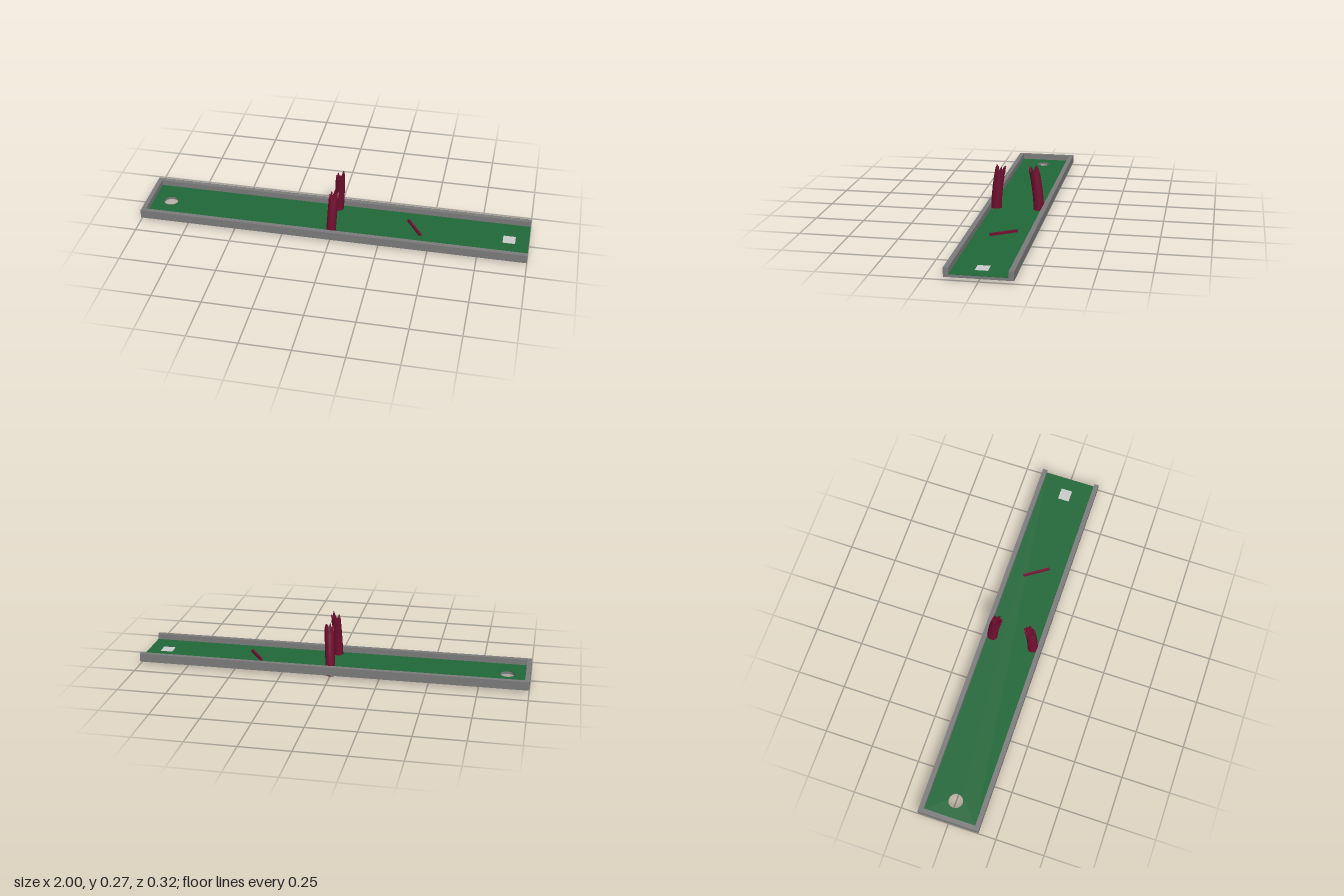
import * as THREE from 'three';

const mat = (color, side = THREE.FrontSide) => new THREE.MeshStandardMaterial({ color, side });

export function createModel() {
  const group = new THREE.Group();
  const grey = mat(0x7c7c7c);
  const green = mat(0x1f6838);
  const maroon = mat(0x720f30, THREE.DoubleSide);
  const pale = mat(0xcccccc);

  const add = (name, geometry, material, x = 0, y = 0, z = 0) => {
    const mesh = new THREE.Mesh(geometry, material);
    mesh.name = name;
    mesh.position.set(x, y, z);
    group.add(mesh);
    return mesh;
  };

  // Flat slab in x and z with the cup hole cut through it
  const slab = (x0, x1, halfZ, y0, y1) => {
    const shape = new THREE.Shape();
    shape.moveTo(x0, -halfZ);
    shape.lineTo(x1, -halfZ);
    shape.lineTo(x1, halfZ);
    shape.lineTo(x0, halfZ);
    shape.closePath();
    const hole = new THREE.Path();
    hole.absarc(-0.885, 0, 0.037, 0, Math.PI * 2, true);
    shape.holes.push(hole);
    const g = new THREE.ExtrudeGeometry(shape, { depth: y1 - y0, bevelEnabled: false, curveSegments: 32 });
    return g.rotateX(-Math.PI / 2).translate(0, y0, 0);
  };

  // Lane bed and turf
  add('laneBed', slab(-1, 1, 0.159, 0.014, 0.027), grey);
  add('turf', slab(-0.977, 1, 0.136, 0.027, 0.0285), green);

  // Raised kerbs on both long sides and the hole end
  for (const s of [1, -1]) {
    add(s > 0 ? 'frontKerb' : 'backKerb', new THREE.BoxGeometry(2, 0.031, 0.024), grey, 0, 0.0425, s * 0.147);
  }
  add('endKerb', new THREE.BoxGeometry(0.023, 0.031, 0.27), grey, -0.9885, 0.0425, 0);

  // Tee mat and slanted obstacle bar
  add('teeMat', new THREE.BoxGeometry(0.063, 0.002, 0.06), pale, 0.9, 0.029, 0);
  const bar = add('obstacleBar', new THREE.BoxGeometry(0.143, 0.012, 0.012), maroon, 0.415, 0.034, -0.004);
  bar.rotation.y = -Math.atan2(0.12, 0.08);

  // Broken arch stumps: hollow, curving inward, ending in jagged teeth
  const SEG = 32;
  const teeth = [[0, 0.222], [3, 0.265], [7, 0.22], [9, 0.255], [11, 0.226], [13, 0.25], [14, 0.232], [16, 0.257],
    [18, 0.225], [20, 0.25], [22, 0.22], [24, 0.245], [26, 0.222], [28, 0.25], [30, 0.225], [32, 0.222]];
  const topAt = (i) => {
    const k = teeth.findIndex((t) => t[0] > i);
    if (k < 0) return teeth[teeth.length - 1][1];
    const [a, b] = [teeth[k - 1], teeth[k]];
    return a[1] + (b[1] - a[1]) * (i - a[0]) / (b[0] - a[0]);
  };
  const stump = (s) => {
    const pos = [], idx = [];
    // Each strip is a list of [radius, height fraction] rings
    const strip = (rings) => {
      const base = pos.length / 3;
      rings.forEach(([r, f]) => {
        for (let i = 0; i <= SEG; i++) {
          const a = (i / SEG) * Math.PI * 2;
          const y = f * (topAt(i) + (s < 0 ? 0.004 : 0));
          pos.push(0.9 * r * Math.sin(a) + 0.05 * y, y, s * (0.111 - y * y / 2.4 + r * Math.cos(a)));
        }
      });
      for (let j = 0; j < rings.length - 1; j++) {
        for (let i = 0; i < SEG; i++) {
          const a = base + j * (SEG + 1) + i, b = a + 1, c = a + SEG + 1, d = c + 1;
          if (s > 0) idx.push(a, b, c, b, d, c);
          else idx.push(a, c, b, b, c, d);
        }
      }
    };
    const RO = 0.027, RI = 0.019;
    const steps = Array.from({ length: 9 }, (_, j) => j / 8);
    strip(steps.map((f) => [RO, f]));
    strip([[RO, 1], [RI, 1]]);
    strip(steps.map((f) => [RI, 1 - f]));
    strip([[RI, 0], [RO, 0]]);
    const g = new THREE.BufferGeometry();
    g.setAttribute('position', new THREE.Float32BufferAttribute(pos, 3));
    g.setIndex(idx);
    g.computeVertexNormals();
    return g;
  };
  add('frontArchStump', stump(1), maroon);
  add('backArchStump', stump(-1), maroon);

  return group;
}
